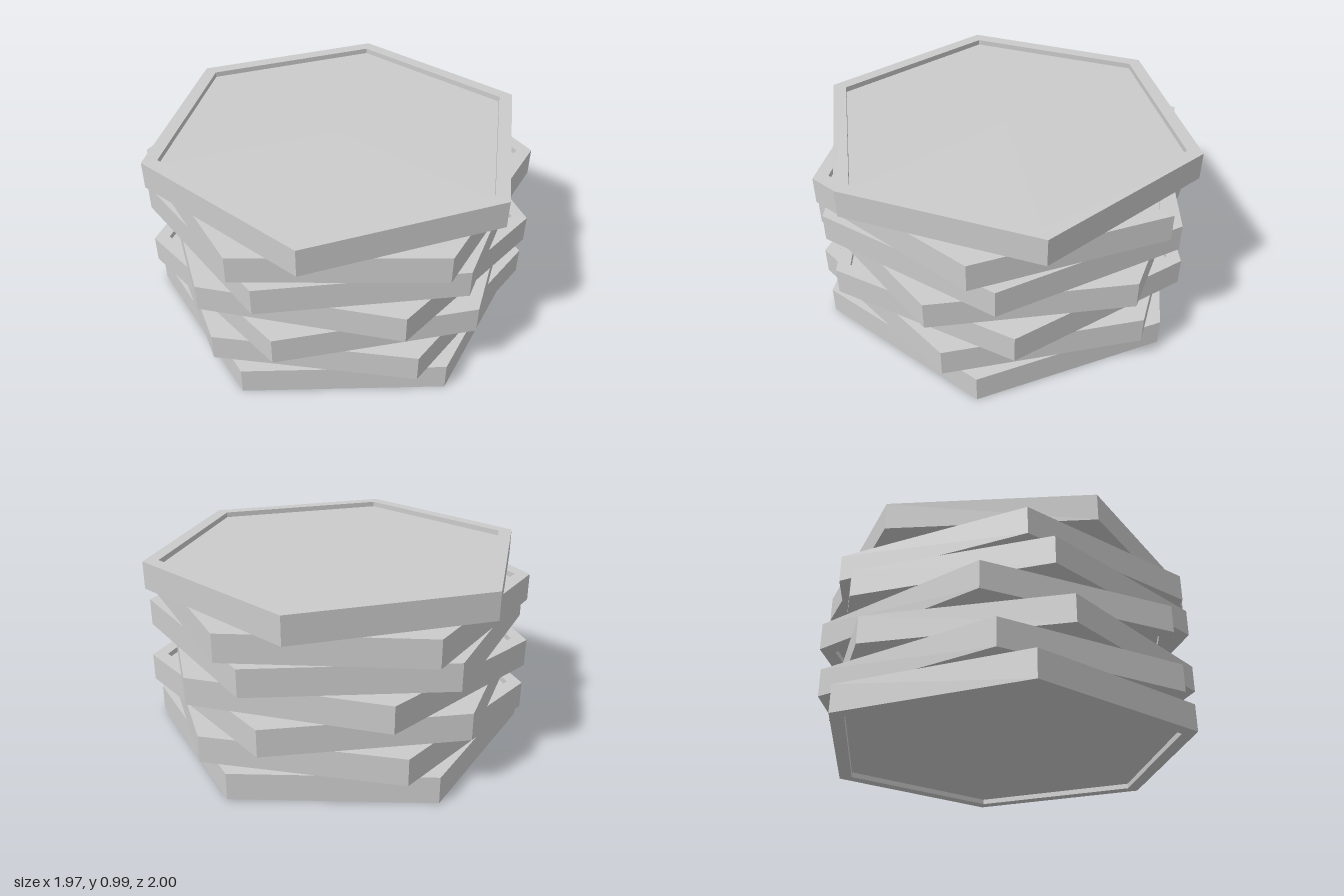
import * as THREE from 'three';

const RADIUS = 1;          // outer corner radius
const INNER = 0.922;       // corner radius of the recesses
const HEIGHT = 0.99 / 7;   // thickness of one tile
const RECESS = 0.028;      // recess depth, top and bottom

// Direction of one corner of each tile, bottom to top, in degrees from +x towards +z
const CORNER_ANGLES = [35.3, 45, 25, 49.3, 30, 37.1, 17.3];

export function createModel() {
  const model = new THREE.Group();
  model.name = 'hexTileStack';
  const material = new THREE.MeshStandardMaterial({ color: 0xcccccc, flatShading: true });

  // Raised border: a six-sided ring
  const profile = [
    [INNER, RECESS], [INNER, 0], [RADIUS, 0],
    [RADIUS, HEIGHT], [INNER, HEIGHT], [INNER, HEIGHT - RECESS],
  ].map(([r, y]) => new THREE.Vector2(r, y));
  const rimGeometry = new THREE.LatheGeometry(profile, 6).toNonIndexed();
  rimGeometry.computeVertexNormals();

  // Sunken plate filling the ring
  const plateGeometry = new THREE.CylinderGeometry(INNER, INNER, HEIGHT - 2 * RECESS, 6).toNonIndexed();
  plateGeometry.translate(0, HEIGHT / 2, 0);
  plateGeometry.computeVertexNormals();

  // Stack of loosely turned tiles
  CORNER_ANGLES.forEach((angle, i) => {
    const tile = new THREE.Group();
    tile.name = `tile${i + 1}`;
    const rim = new THREE.Mesh(rimGeometry, material);
    rim.name = 'rim';
    const plate = new THREE.Mesh(plateGeometry, material);
    plate.name = 'plate';
    tile.add(rim, plate);
    tile.position.y = i * HEIGHT;
    tile.rotation.y = THREE.MathUtils.degToRad(90 - angle);
    model.add(tile);
  });

  return model;
}
